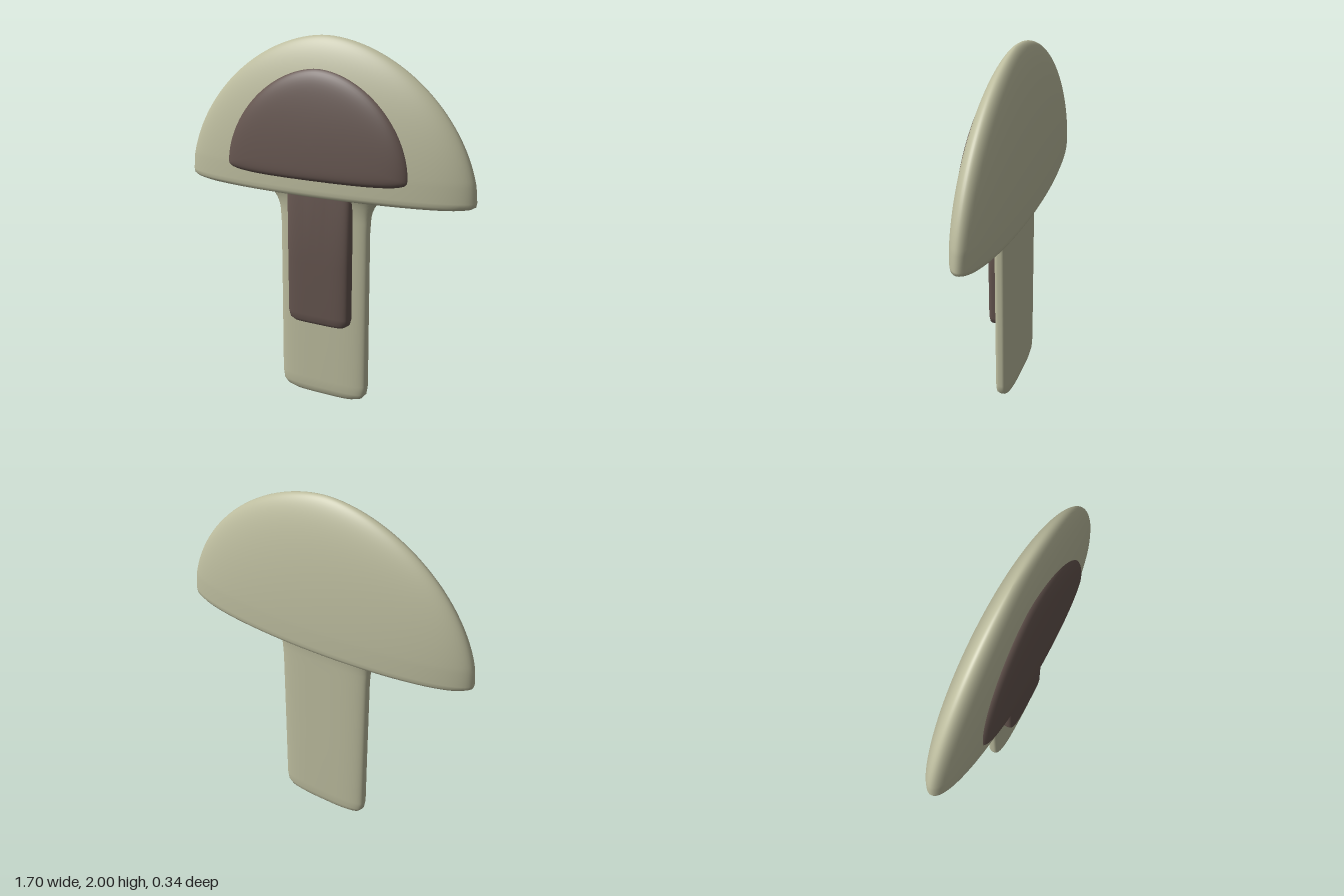
import * as THREE from 'three';

const pale = new THREE.MeshStandardMaterial({ color: 0xbcbc9e });
const dark = new THREE.MeshStandardMaterial({ color: 0x65554f });

// Smooth surface from closed rings: at(row, angle) returns [x, y, z]
function ringSurface(name, material, rows, sides, at) {
  const pos = [], index = [];
  for (let i = 0; i < rows; i++) {
    for (let j = 0; j < sides; j++) {
      pos.push(...at(i, (j / sides) * Math.PI * 2));
      if (i === rows - 1) continue;
      const a = i * sides + j, b = i * sides + (j + 1) % sides;
      index.push(a, a + sides, b, b, a + sides, b + sides);
    }
  }
  const geo = new THREE.BufferGeometry();
  geo.setAttribute('position', new THREE.Float32BufferAttribute(pos, 3));
  geo.setIndex(index);
  geo.computeVertexNormals();
  const mesh = new THREE.Mesh(geo, material);
  mesh.name = name;
  return mesh;
}

const power = (v, p) => Math.sign(v) * Math.abs(v) ** p;

// Stack of superellipse sections [y, half width, half depth] around depth zc
function loft(name, material, sections, zc, n) {
  return ringSurface(name, material, sections.length, 96, (i, a) => {
    const [y, w, d] = sections[i];
    return [w * power(Math.cos(a), 2 / n), y, zc + d * power(Math.sin(a), 2 / n)];
  });
}

// Dome of the cap: half width at a height, and depth of its front surface
const FLAT = 0.188, CAP_Z = -0.01;
const capWidth = (y) => {
  const u = THREE.MathUtils.clamp((y - 1.2) / 0.8, 0, 1);
  return 0.855 * (1 - u ** 1.8) ** 0.55;
};
const capFront = (x, y) => CAP_Z + FLAT * Math.sqrt(Math.max(0, capWidth(y) ** 2 - x * x));

export function createModel() {
  const group = new THREE.Group();

  // Flattened dome with a rounded lower rim
  const cap = [[1.18, 0], [1.178, 0.4], [1.178, 0.74], [1.18, 0.79], [1.187, 0.825], [1.2, 0.847], [1.22, 0.851]];
  for (let k = 4; k <= 40; k++) {
    const y = 1.2 + 0.8 * Math.sin((k / 40) * Math.PI / 2) ** (2 / 1.8);
    cap.push([y, k === 40 ? 0 : capWidth(y)]);
  }
  group.add(loft('cap', pale, cap.map(([y, r]) => [y, r, r * FLAT]), CAP_Z, 2));

  // Flat stem, rounded at the foot and flared under the cap
  const stem = [[0.004, 0, 0], [0.005, 0.12, 0.02], [0.01, 0.19, 0.033], [0.025, 0.235, 0.043],
    [0.05, 0.257, 0.048], [0.1, 0.265, 0.05], [0.5, 0.265, 0.05], [0.98, 0.266, 0.05]];
  for (let k = 0; k <= 8; k++) {
    const a = (k / 8) * Math.PI / 2;
    stem.push([1.04 + 0.145 * Math.sin(a), 0.27 + 0.12 * (1 - Math.cos(a)), 0.05 + 0.03 * (1 - Math.cos(a))]);
  }
  group.add(loft('stem', pale, stem, -0.01, 3.2));

  // Raised dark strip on the front of the stem
  const strip = [[0.443, 0, 0], [0.444, 0.12, 0.035], [0.45, 0.155, 0.048], [0.465, 0.178, 0.056],
    [0.5, 0.187, 0.06], [0.8, 0.189, 0.06], [1.2, 0.19, 0.06], [1.2, 0, 0]];
  group.add(loft('stemPatch', dark, strip, 0.035, 4.5));

  // Dark half-round patch that follows the cap and is rounded at its edge
  const rows = 20;
  group.add(ringSurface('capPatch', dark, rows + 1, 128, (i, a) => {
    const t = Math.sin((i / rows) * Math.PI / 2);
    const c = Math.cos(a), s = Math.sin(a);
    const ex = s >= 0 ? 1.1 : 0.5;
    const edgeX = 0.535 * power(c, ex);
    const edgeY = 1.325 + (s >= 0 ? 0.515 * s ** 1.11 : 0.057 * power(s, 0.5));
    const x = t * edgeX, y = 1.45 + t * (edgeY - 1.45);
    const lift = 0.035 * Math.sqrt(Math.max(0, 1 - t ** 12)) - 0.01;
    return [x, y, capFront(x, y) + lift];
  }));

  return group;
}
